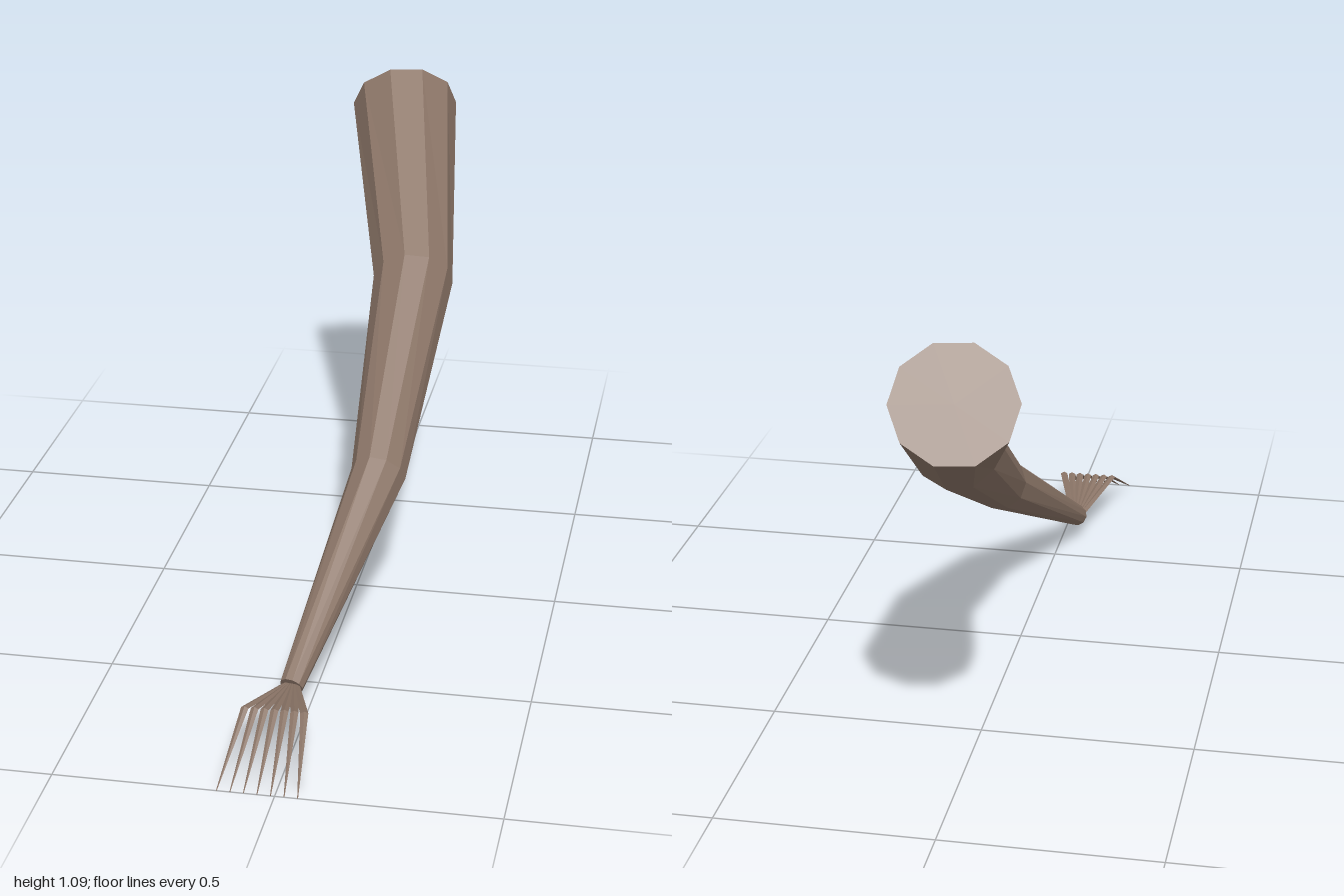
import * as THREE from 'three';

// Capped, faceted tube through points; each point is [x, y, z, halfWidth, halfHeight, twist]
function facetedTube(points, sides) {
  const up = new THREE.Vector3(0, 1, 0);
  const centers = points.map(p => new THREE.Vector3(p[0], p[1], p[2]));
  const n = centers.length;
  const dir = i => centers[i + 1].clone().sub(centers[i]).normalize();
  const rings = points.map(([, , , w, h, twist = 0], i) => {
    const t = new THREE.Vector3();
    if (i > 0) t.add(dir(i - 1));
    if (i < n - 1) t.add(dir(i));
    t.normalize();
    const u = t.clone().cross(up).normalize();
    const v = u.clone().cross(t);
    return Array.from({ length: sides }, (_, k) => {
      const a = (k / sides) * Math.PI * 2 + twist;
      return centers[i].clone()
        .addScaledVector(u, w * Math.cos(a))
        .addScaledVector(v, h * Math.sin(a));
    });
  });
  const tris = [];
  for (let k = 0; k < sides; k++) {
    const m = (k + 1) % sides;
    for (let i = 0; i < n - 1; i++) {
      const a = rings[i][k], b = rings[i][m], c = rings[i + 1][m], d = rings[i + 1][k];
      tris.push(a, d, c, a, c, b);
    }
    tris.push(centers[0], rings[0][k], rings[0][m]);
    tris.push(centers[n - 1], rings[n - 1][m], rings[n - 1][k]);
  }
  const geometry = new THREE.BufferGeometry().setFromPoints(tris);
  geometry.computeVertexNormals();
  return geometry;
}

export function createModel() {
  const model = new THREE.Group();
  model.name = 'clawedLimb';
  const brown = new THREE.MeshStandardMaterial({ color: 0x8b7567, flatShading: true });
  brown.name = 'barkBrown';

  const add = (name, geometry, parent) => {
    const mesh = new THREE.Mesh(geometry, brown);
    mesh.name = name;
    parent.add(mesh);
  };

  // Bent, ten-sided limb widening towards the back
  add('limb', facetedTube([
    [-0.038, 0.062, 0.63, 0.028, 0.028, 0],
    [0.073, 0.368, 0.11, 0.067, 0.067, -0.12],
    [0.072, 0.675, -0.41, 0.101, 0.101, -0.12],
    [-0.036, 0.985, -0.928, 0.138, 0.134, 0],
  ], 10), model);

  // Seven thin claws fanning out from the narrow end, bent at a knuckle
  const claws = new THREE.Group();
  claws.name = 'claws';
  model.add(claws);
  for (let i = -3; i <= 3; i++) {
    add('claw', facetedTube([
      [-0.039 + i * 0.003, 0.065, 0.625, 0.009, 0.005],
      [-0.038 + i * 0.0225, 0.104, 0.815, 0.009, 0.005],
      [-0.039 + i * 0.03, 0.002, 1.0, 0.001, 0.001],
    ], 4), claws);
  }
  return model;
}
